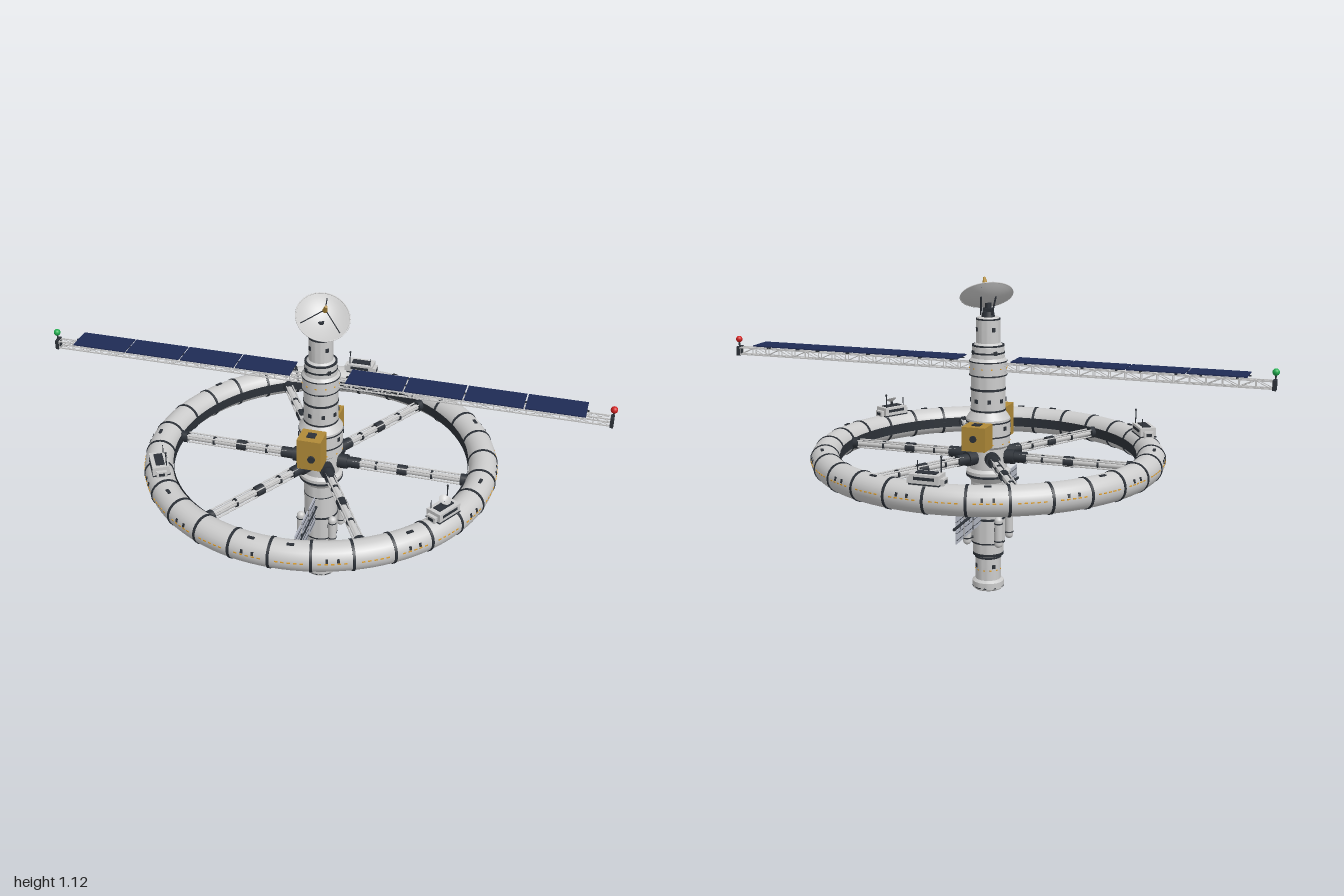
import * as THREE from 'three';
import { mergeGeometries, toCreasedNormals } from 'three/addons/utils/BufferGeometryUtils.js';

const mat = (color, side = THREE.FrontSide) => new THREE.MeshStandardMaterial({ color, side });
const V = (x, y, z) => new THREE.Vector3(x, y, z);
const UP = V(0, 1, 0);
const RING = 0.575, TUBE = 0.05, MID = 0.498;

// Geometry helpers
const box = (w, h, d, x = 0, y = 0, z = 0) => new THREE.BoxGeometry(w, h, d).translate(x, y, z);
const cyl = (r, h, x = 0, y = 0, z = 0, n = 16, r2 = r) => new THREE.CylinderGeometry(r2, r, h, n).translate(x, y, z);
const ball = (r, x, y, z) => new THREE.SphereGeometry(r, 16, 12).translate(x, y, z);
function rod(a, b, r, n = 6) {
  const d = b.clone().sub(a), q = new THREE.Quaternion().setFromUnitVectors(UP, d.clone().normalize());
  const m = a.clone().add(b).multiplyScalar(0.5);
  return new THREE.CylinderGeometry(r, r, d.length(), n).applyQuaternion(q).translate(m.x, m.y, m.z);
}
const lathe = (pts, n = 40) =>
  toCreasedNormals(new THREE.LatheGeometry(pts.map(p => new THREE.Vector2(...p)), n), 0.5);

export function createModel() {
  const root = new THREE.Group();
  const hull = mat(0xcccccc), dark = mat(0x2c3138), gold = mat(0xb08a38), navy = mat(0x1f2b55);
  const amber = mat(0xe0a030), red = mat(0xd02020), green = mat(0x20b050), pane = mat(0xb4b8c4);
  const add = (name, geos, material, parent = root) => {
    const list = [].concat(geos);
    const g = list.length > 1 ? mergeGeometries(list.map(k => (k.index ? k.toNonIndexed() : k))) : list[0];
    const m = new THREE.Mesh(g, material);
    m.name = name;
    parent.add(m);
    return m;
  };

  // Central spine
  add('spine', lathe([[0, 0], [0.05, 0], [0.057, 0.006], [0.057, 0.03], [0.046, 0.038], [0.046, 0.125],
    [0.055, 0.135], [0.055, 0.175], [0.061, 0.182], [0.061, 0.405], [0.078, 0.43], [0.078, 0.445], [0.067, 0.455],
    [0.067, 0.53], [0.078, 0.54], [0.078, 0.635], [0.061, 0.66], [0.061, 0.785], [0.066, 0.79], [0.066, 0.84],
    [0.058, 0.85], [0.056, 0.89], [0.042, 0.902], [0.042, 0.985], [0.036, 0.992], [0, 0.992]]), hull);
  const bands = [[0.01, 0.057, 0.004], [0.122, 0.048, 0.006], [0.135, 0.056, 0.01], [0.18, 0.061, 0.006],
    [0.27, 0.062, 0.008], [0.36, 0.062, 0.003], [0.43, 0.079, 0.008], [0.575, 0.079, 0.005], [0.625, 0.079, 0.005],
    [0.665, 0.062, 0.006], [0.74, 0.062, 0.008], [0.79, 0.067, 0.004], [0.838, 0.067, 0.004], [0.868, 0.058, 0.006],
    [0.893, 0.057, 0.005], [0.985, 0.043, 0.005]];
  add('spineBands', bands.map(([y, r, h]) => cyl(r, h, 0, y, 0, 40)), dark);

  // Spine portholes and hatches
  const ports = [], lamps = [];
  for (const [y, r, n] of [[0.09, 0.046, 4], [0.235, 0.061, 4], [0.605, 0.078, 8], [0.7, 0.061, 8], [0.87, 0.057, 4], [0.95, 0.042, 4]])
    for (let i = 0; i < n; i++)
      ports.push(box(0.012, 0.014, 0.006, 0, y, r).rotateY((i + 0.5) * 2 * Math.PI / n));
  for (const [y, r] of [[0.075, 0.046], [0.55, 0.078], [0.815, 0.066]])
    for (let i = 0; i < 12; i++)
      lamps.push(box(0.006, 0.004, 0.003, 0, y, r).rotateY(i * Math.PI / 6));
  add('spinePorts', ports, dark);
  add('spineLamps', lamps, amber);

  // Propellant tanks around the lower spine
  const tanks = [], brackets = [];
  for (let i = 0; i < 4; i++) {
    const a = Math.PI / 4 + i * Math.PI / 2, x = 0.084 * Math.cos(a), z = 0.084 * Math.sin(a);
    tanks.push(new THREE.CapsuleGeometry(0.015, 0.085, 6, 14).translate(x, 0.232, z));
    for (const y of [0.2, 0.265]) brackets.push(rod(V(x * 0.6, y, z * 0.6), V(x, y, z), 0.005), cyl(0.0157, 0.004, x, y, z));
  }
  add('tanks', tanks, hull);
  add('tankBrackets', brackets, dark);

  // Equipment bays either side of the hub
  add('equipmentBays', [box(0.085, 0.115, 0.078, 0, 0.602, 0.117), box(0.085, 0.085, 0.078, 0, 0.588, -0.117)], gold);
  add('bayFittings', [rod(V(0.01, 0.59, 0.155), V(0.01, 0.59, 0.163), 0.013, 16), rod(V(0, 0.59, -0.155), V(0, 0.59, -0.162), 0.012, 16),
    box(0.03, 0.004, 0.03, 0, 0.661, 0.117), box(0.03, 0.004, 0.03, 0, 0.632, -0.117)], dark);

  // Habitat ring with 28 collars
  const ring = new THREE.Group();
  ring.name = 'habitatRing';
  ring.position.y = MID;
  root.add(ring);
  add('ringTube', new THREE.TorusGeometry(RING, TUBE, 24, 112).rotateX(Math.PI / 2), hull, ring);
  const collars = [], windows = [], lights = [], rails = [];
  for (let i = 0; i < 28; i++) {
    const a = i * 2 * Math.PI / 28;
    collars.push(new THREE.CylinderGeometry(0.0525, 0.0525, 0.009, 24).rotateZ(Math.PI / 2).translate(0, 0, RING).rotateY(a));
    for (let k = -2; k <= 2; k++)
      lights.push(box(0.011, 0.004, 0.003, 0, 0.004, RING + TUBE - 0.0005).rotateY(a + 0.112 + k * 0.033));
    if (i % 2) for (const k of [-0.03, 0.03])
      windows.push(box(0.008, 0.013, 0.004, 0, 0, TUBE).rotateX(-0.3).translate(0, 0, RING).rotateY(a + 0.112 + k));
    if (i % 3 === 0)
      windows.push(box(0.024, 0.004, 0.01, 0, TUBE, 0).translate(0, 0, RING + 0.012).rotateY(a + 0.112));
  }
  rails.push(new THREE.CylinderGeometry(0.523, 0.523, 0.036, 112, 1, true));
  add('ringCollars', collars, dark, ring);
  add('ringWindows', windows, dark, ring);
  add('ringLights', lights, amber, ring);
  add('ringInnerBand', rails, mat(0x2c3138, THREE.DoubleSide), ring);

  // Six spokes
  for (let i = 0; i < 6; i++) {
    const s = new THREE.Group();
    s.name = 'spoke';
    s.position.y = MID;
    s.rotation.y = i * Math.PI / 3;
    root.add(s);
    const seg = (a, b, r) => rod(V(a, 0, 0), V(b, 0, 0), r, 14);
    const tube = [seg(0.06, 0.53, 0.011)];
    for (const [y, z] of [[0.012, 0.012], [0.012, -0.012], [-0.012, 0.012], [-0.012, -0.012]])
      tube.push(rod(V(0.12, y, z), V(0.52, y, z), 0.003));
    add('spokeTube', tube, hull, s);
    add('spokeJoints', [seg(0.065, 0.1, 0.026), seg(0.1, 0.145, 0.02), seg(0.28, 0.315, 0.019), seg(0.505, 0.53, 0.021),
      seg(0.2, 0.206, 0.016), seg(0.4, 0.406, 0.016)], dark, s);
  }

  // Three deck modules on top of the ring
  for (let i = 0; i < 3; i++) {
    const m = new THREE.Group();
    m.name = 'deckModule';
    m.rotation.y = Math.PI + i * 2 * Math.PI / 3;
    root.add(m);
    add('moduleBody', [box(0.1, 0.036, 0.058, 0, 0.562, RING), box(0.125, 0.022, 0.036, 0, 0.557, RING)], hull, m);
    add('moduleTrim', [box(0.07, 0.004, 0.03, 0, 0.581, RING), box(0.104, 0.004, 0.061, 0, 0.548, RING),
      box(0.07, 0.01, 0.061, 0, 0.567, RING), box(0.128, 0.01, 0.02, 0, 0.557, RING)], dark, m);
    add('moduleAntennas', [rod(V(0.04, 0.58, RING - 0.02), V(0.04, 0.63, RING - 0.02), 0.002),
      rod(V(-0.04, 0.58, RING - 0.02), V(-0.04, 0.612, RING - 0.02), 0.0015), ball(0.004, 0.04, 0.63, RING - 0.02)], dark, m);
    if (i === 2) {
      add('smallDishPost', rod(V(0, 0.58, RING), V(0, 0.597, RING), 0.004), dark, m);
      const d = add('smallDish', new THREE.LatheGeometry([[0, 0], [0.012, 0.003], [0.021, 0.01]].map(p => new THREE.Vector2(...p)), 20),
        mat(0xcccccc, THREE.DoubleSide), m);
      d.position.set(0, 0.597, RING);
      d.rotation.x = 0.4;
    }
  }

  // Lattice boom carrying the solar wings
  const boom = [], lo = 0.804, hi = 0.829, w = 0.012, bays = 36, step = 0.92 / 18;
  for (const y of [lo, hi]) for (const z of [-w, w]) boom.push(box(1.97, 0.004, 0.004, 0, y, z));
  for (let i = 0; i <= bays; i++) {
    const x = -0.98 + i * 1.96 / bays, x2 = x + 1.96 / bays, f = i % 2;
    for (const z of [-w, w]) boom.push(box(0.003, hi - lo, 0.003, x, (lo + hi) / 2, z));
    for (const y of [lo, hi]) boom.push(box(0.003, 0.003, 2 * w, x, y, 0));
    if (i === bays) break;
    for (const z of [-w, w]) boom.push(rod(V(x, f ? hi : lo, z), V(x2, f ? lo : hi, z), 0.0014, 4));
    for (const y of [lo, hi]) boom.push(rod(V(x, y, f ? w : -w), V(x2, y, f ? -w : w), 0.0014, 4));
  }
  add('boom', boom, hull);

  const cells = [], frames = [], ends = [];
  for (const s of [-1, 1]) {
    for (let i = 0; i < 4; i++) {
      const x = s * (0.197 + i * 0.2025);
      cells.push(box(0.197, 0.004, 0.096, x, 0.845, 0));
      frames.push(box(0.19, 0.003, 0.006, x, 0.842, 0.03), box(0.19, 0.003, 0.006, x, 0.842, -0.03));
      for (const k of [-0.06, 0.06]) frames.push(box(0.005, 0.016, 0.024, x + k, 0.836, 0));
    }
    frames.push(box(0.82, 0.003, 0.008, s * 0.5, 0.842, 0));
    ends.push(box(0.012, 0.034, 0.034, s * 0.986, 0.816, 0), rod(V(s * 0.988, 0.83, 0), V(s * 0.988, 0.855, 0), 0.003));
  }
  add('solarPanels', cells, navy);
  add('solarFrames', frames, dark);
  add('boomEnds', ends, dark);
  add('redBeacon', ball(0.012, 0.988, 0.859, 0), red);
  add('greenBeacon', ball(0.012, -0.988, 0.859, 0), green);

  // Radiators on a cross beam through the lower spine
  const fins = [], finLines = [rod(V(0, 0.322, -0.345), V(0, 0.322, 0.345), 0.005, 8)];
  for (const s of [-1, 1]) for (let i = 0; i < 3; i++) {
    const z = s * (0.117 + i * 0.087);
    for (const y of [0.29, 0.355]) {
      fins.push(box(0.004, 0.05, 0.067, 0, y, z));
      for (const k of [-0.012, 0.012]) finLines.push(box(0.006, 0.0015, 0.067, 0, y + k, z));
    }
    finLines.push(box(0.005, 0.03, 0.006, 0, 0.322, z));
  }
  add('radiators', fins, pane);
  add('radiatorBeam', finLines, dark);

  // Main dish on its mount, tilted forward and to the left
  add('dishMount', [cyl(0.024, 0.02, 0, 1.0, 0, 20, 0.02), cyl(0.011, 0.04, 0, 1.02, 0), box(0.034, 0.014, 0.026, 0, 1.015, 0),
    rod(V(0.02, 1.0, -0.02), V(0.01, 1.065, -0.045), 0.003), rod(V(-0.02, 1.0, -0.02), V(-0.035, 1.065, -0.02), 0.003)], dark);
  const dish = new THREE.Group();
  dish.name = 'dish';
  dish.position.set(0.001, 1.04, -0.003);
  dish.quaternion.setFromUnitVectors(UP, V(0.3, 0.82, 0.49).normalize());
  root.add(dish);
  const bowl = [];
  for (let i = 0; i <= 8; i++) bowl.push(new THREE.Vector2(0.092 * i / 8, 0.03 * (i / 8) ** 2));
  add('dishBowl', new THREE.LatheGeometry(bowl, 40), mat(0xcccccc, THREE.DoubleSide), dish);
  add('dishRim', new THREE.TorusGeometry(0.092, 0.002, 8, 40).rotateX(Math.PI / 2).translate(0, 0.03, 0), hull, dish);
  add('dishStruts', [0, 1, 2].map(i => {
    const a = i * 2 * Math.PI / 3 + 0.4;
    return rod(V(0.078 * Math.cos(a), 0.022, 0.078 * Math.sin(a)), V(0, 0.08, 0), 0.0018);
  }), dark, dish);
  add('dishFeed', cyl(0.009, 0.026, 0, 0.086, 0, 14, 0.005), gold, dish);
  return root;
}
